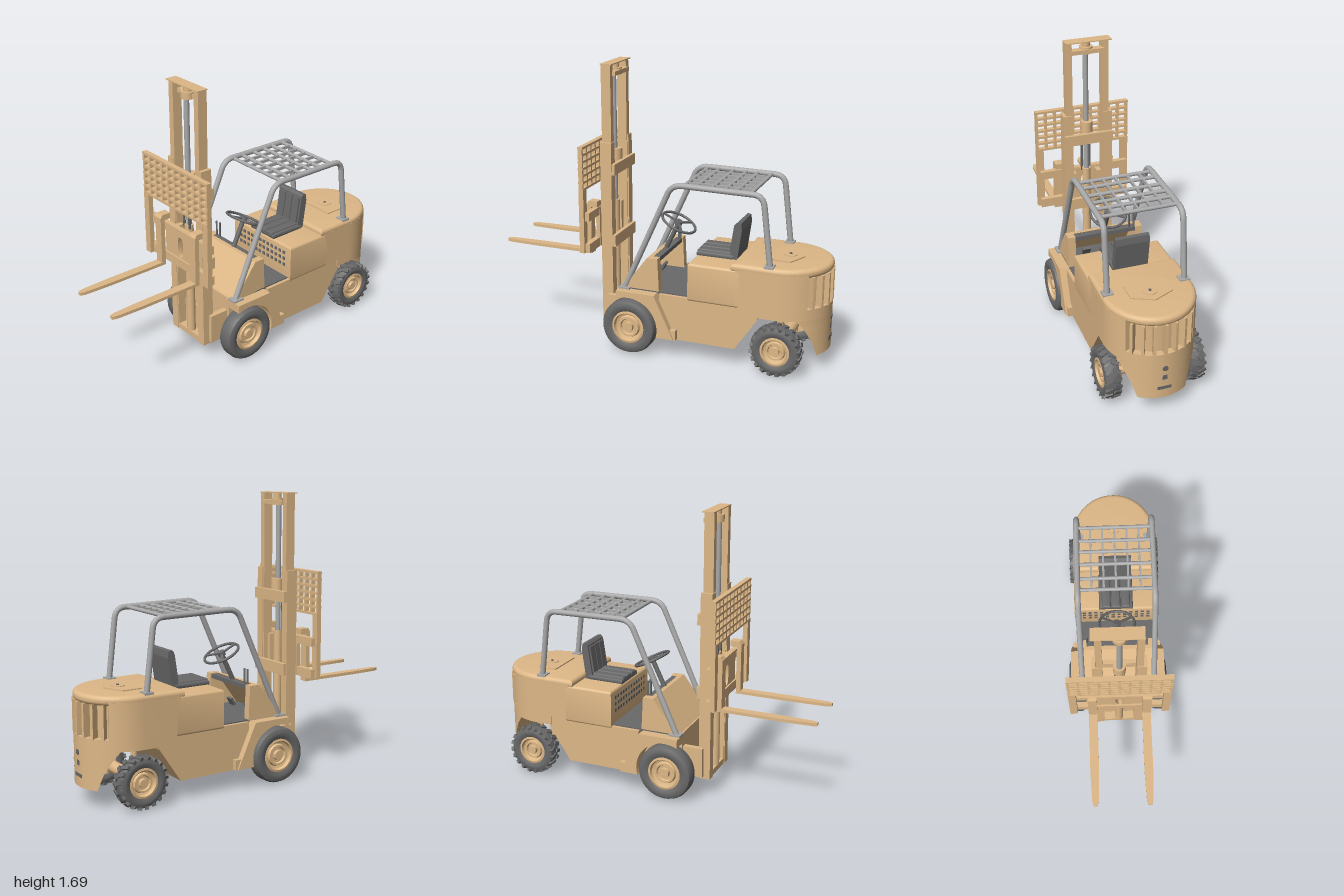
import * as THREE from 'three';
import { toCreasedNormals } from 'three/addons/utils/BufferGeometryUtils.js';

const TAN = new THREE.MeshStandardMaterial({ color: 0xdeb887, side: THREE.DoubleSide });
const GREY = new THREE.MeshStandardMaterial({ color: 0xa9a9a9 });
const DARK = new THREE.MeshStandardMaterial({ color: 0x696969, side: THREE.DoubleSide });

function add(parent, name, geo, mat = TAN, x = 0, y = 0, z = 0) {
  const m = new THREE.Mesh(geo, mat);
  m.name = name;
  m.position.set(x, y, z);
  parent.add(m);
  return m;
}
// box given by its extents
function box(p, name, x0, x1, y0, y1, z0, z1, mat) {
  return add(p, name, new THREE.BoxGeometry(x1 - x0, y1 - y0, z1 - z0), mat, (x0 + x1) / 2, (y0 + y1) / 2, (z0 + z1) / 2);
}
function cyl(p, name, r, y0, y1, x, z, mat) {
  return add(p, name, new THREE.CylinderGeometry(r, r, y1 - y0, 24), mat, x, (y0 + y1) / 2, z);
}
// [z, y] profile extruded across x
function side(p, name, pts, x0, x1, mat) {
  const s = new THREE.Shape(pts.map(([z, y]) => new THREE.Vector2(-z, y)));
  const g = new THREE.ExtrudeGeometry(s, { depth: x1 - x0, bevelEnabled: false });
  return add(p, name, g.rotateY(Math.PI / 2).translate(x0, 0, 0), mat);
}
// [x, z] outline extruded upward, optionally with rounded edges
function plan(p, name, pts, y0, y1, round = 0, mat = TAN) {
  const s = new THREE.Shape(pts.map(([x, z]) => new THREE.Vector2(x, -z)));
  const g = new THREE.ExtrudeGeometry(s, {
    depth: y1 - y0 - 2 * round, bevelEnabled: round > 0, bevelSize: round,
    bevelThickness: round, bevelOffset: -round, bevelSegments: 4,
  });
  return add(p, name, toCreasedNormals(g.rotateX(-Math.PI / 2).translate(0, y0 + round, 0), 0.6), mat);
}
// points of the round tail, angle measured from straight back
const tail = (a, k = 1) => [0.26 * k * Math.sin(a), -0.72 - 0.28 * k * Math.cos(a)];
function tailOutline(zFront, notch) {
  const pts = [[-0.26, zFront]];
  for (let i = 0; i <= 48; i++) {
    const a = (i / 48 - 0.5) * Math.PI;
    pts.push(tail(a, notch && Math.abs(a) < 0.84 ? 0.86 : 1));
  }
  pts.push([0.26, zFront]);
  return pts;
}

function counterweightSkirt() {
  const levels = [[0.105, -0.955], [0.2, -0.93], [0.28, -0.89], [0.36, -0.83]], n = 24, pos = [];
  const rings = levels.map(([y, zc]) => {
    const A = Math.acos((-zc - 0.72) / 0.28);
    return Array.from({ length: n }, (_, i) => {
      const [x, z] = tail((i / (n - 1) * 2 - 1) * A);
      return [x, y, z];
    });
  });
  for (let j = 0; j < rings.length - 1; j++) for (let i = 0; i < n; i++) {
    const k = (i + 1) % n, a = rings[j][i], b = rings[j][k], c = rings[j + 1][k], d = rings[j + 1][i];
    pos.push(...a, ...d, ...c, ...a, ...c, ...b);
  }
  for (let i = 1; i < n - 1; i++) pos.push(...rings[0][0], ...rings[0][i], ...rings[0][i + 1]);
  const g = new THREE.BufferGeometry();
  g.setAttribute('position', new THREE.Float32BufferAttribute(pos, 3));
  return toCreasedNormals(g, 0.6);
}

function wheel(name, R, w, rim, lugs) {
  const g = new THREE.Group(), h = w / 2, v = (r, y) => new THREE.Vector2(r, y);
  g.name = name;
  const lathe = (part, pts, mat) => add(g, part, toCreasedNormals(new THREE.LatheGeometry(pts, 40).rotateZ(-Math.PI / 2), 0.6), mat);
  const t = lugs ? R - 0.008 : R;
  lathe('tyre', [v(rim, -h * 0.8), v(rim + 0.02, -h), v(t - 0.025, -h), v(t - 0.008, -h * 0.85), v(t, -h * 0.5), v(t, h * 0.5),
    v(t - 0.008, h * 0.85), v(t - 0.025, h), v(rim + 0.02, h), v(rim, h * 0.8)], DARK);
  lathe('rim', [v(0, -h * 0.7), v(rim, -h * 0.8), v(rim, h * 0.85), v(rim - 0.012, h * 0.9), v(rim - 0.018, h * 0.5), v(rim * 0.68, h * 0.4),
    v(rim * 0.62, h * 0.7), v(rim * 0.5, h * 0.7), v(rim * 0.45, h * 0.45), v(rim * 0.3, h * 0.45), v(rim * 0.28, h * 0.85), v(0, h * 0.85)]);
  for (let i = 0; i < lugs; i++) for (const s of [-1, 1]) {
    const holder = new THREE.Group();
    holder.rotation.x = (i + (s > 0 ? 0.5 : 0)) / lugs * Math.PI * 2;
    const lug = box(holder, 'treadLug', -h * 0.5, h * 0.5, -0.009, 0.009, -0.011, 0.011, DARK);
    lug.position.set(s * h * 0.5, R - 0.011, 0);
    lug.rotation.set(0, s * 0.45, -s * 0.12);
    g.add(holder);
  }
  return g;
}

export function createModel() {
  const root = new THREE.Group();
  root.name = 'forklift';
  const group = (name) => { const g = new THREE.Group(); g.name = name; root.add(g); return g; };

  // chassis and rounded tail
  const body = group('body');
  side(body, 'chassis', [[-0.04, 0.385], [-0.04, 0.115], [-0.5, 0.115], [-0.63, 0.31], [-0.66, 0.385]], -0.255, 0.255);
  box(body, 'frontFrame', -0.19, 0.19, 0.12, 0.385, -0.04, 0.21);
  plan(body, 'seatDeck', [[-0.26, -0.215], [-0.26, -0.52], [0.26, -0.52], [0.26, -0.215]], 0.37, 0.6, 0.015);
  plan(body, 'tailBase', tailOutline(-0.62), 0.33, 0.395);
  plan(body, 'tailMiddle', tailOutline(-0.5, true), 0.385, 0.6);
  plan(body, 'hoodTop', tailOutline(-0.47), 0.58, 0.633, 0.024);
  add(body, 'counterweightSkirt', counterweightSkirt());
  for (let i = -3; i <= 3; i++) {
    const a = i * 0.24, [x, z] = tail(a, 0.93);
    box(body, 'grilleFin', -0.008, 0.008, 0.39, 0.585, -0.024, 0.024).position.set(x, 0.487, z);
    body.children.at(-1).rotation.y = -a;
  }
  plan(body, 'hoodPlate', [[-0.122, -0.66], [-0.122, -0.78], [0, -0.835], [0.122, -0.78], [0.122, -0.66]], 0.62, 0.64);
  cyl(body, 'fillerCap', 0.04, 0.635, 0.644, 0, -0.75);
  cyl(body, 'capKnob', 0.008, 0.64, 0.65, 0, -0.75, DARK);
  const pin = cyl(body, 'towPin', 0.016, -0.006, 0.006, 0, 0, DARK);
  pin.position.set(0, 0.3, -0.998);
  pin.rotation.x = Math.PI / 2;
  box(body, 'towSlot', -0.014, 0.014, 0.225, 0.255, -1, -0.98, DARK);
  box(body, 'towRecess', -0.04, 0.04, 0.16, 0.18, -1, -0.98, DARK);
  for (let i = 0; i < 12; i++) for (let j = 0; j < 3; j++) {
    const x = -0.2 + i * 0.0364, y = 0.46 + j * 0.04;
    box(body, 'ventHole', x - 0.01, x + 0.01, y, y + 0.02, -0.22, -0.212, DARK);
  }

  // cowl, fenders and footwell
  box(body, 'floor', -0.235, 0.235, 0.38, 0.392, -0.215, 0.17, DARK);
  side(body, 'cowlFront', [[0.2, 0.385], [0.045, 0.59], [0.02, 0.59], [0.17, 0.385]], -0.2, 0.2);
  box(body, 'dashboard', -0.2, 0.2, 0.56, 0.585, -0.015, 0.04, DARK);
  const fender = [[0.22, 0.385], [-0.02, 0.385], [-0.14, 0.125], [-0.07, 0.125]];
  for (let d = 195; d >= 65; d -= 10) {
    const t = d * Math.PI / 180;
    fender.push([0.142 + 0.18 * Math.cos(t), 0.17 + 0.18 * Math.sin(t)]);
  }
  for (const s of [-1, 1]) {
    const span = (a, b) => (s > 0 ? [a, b] : [-b, -a]);
    side(body, 'fender', fender, ...span(0.18, 0.295));
    side(body, 'cowlSide', [[0.2, 0.385], [0.045, 0.59], [-0.02, 0.59], [-0.03, 0.385]], ...span(0.19, 0.235));
    box(body, 'step', ...span(0.25, 0.285), 0.12, 0.18, -0.15, -0.08);
    box(body, 'mastBracket', ...span(0.14, 0.175), 0.12, 0.3, 0.18, 0.33);
    box(body, 'pedal', ...span(0.07, 0.12), 0.4, 0.45, 0.06, 0.075, DARK).rotation.x = -0.5;
    cyl(body, 'lever', 0.006, 0.58, 0.68, -0.17 + s * 0.015, -0.005, DARK);
  }

  // wheels and axles
  const wheels = group('wheels');
  for (const s of [-1, 1]) {
    const f = wheel('frontWheel', 0.166, 0.1, 0.1, 0), r = wheel('rearWheel', 0.152, 0.09, 0.086, 20);
    f.position.set(s * 0.26, 0.166, 0.142);
    r.position.set(s * 0.25, 0.152, -0.747);
    for (const w of [f, r]) { if (s < 0) w.rotation.y = Math.PI; wheels.add(w); }
    cyl(wheels, 'kingpin', 0.02, 0.09, 0.34, s * 0.175, -0.747);
  }
  for (const [z, y, r] of [[0.142, 0.166, 0.06], [-0.747, 0.152, 0.035]]) {
    const a = cyl(wheels, 'axle', r, -0.21, 0.21, 0, z);
    a.position.y = y;
    a.rotation.z = Math.PI / 2;
  }

  // overhead guard
  const guard = group('overheadGuard');
  for (const s of [-1, 1]) {
    const path = new THREE.CurvePath(), V = (z, y) => new THREE.Vector3(s * 0.225, y, z);
    path.add(new THREE.LineCurve3(V(0.19, 0.385), V(-0.085, 1.0)));
    path.add(new THREE.QuadraticBezierCurve3(V(-0.085, 1.0), V(-0.11, 1.045), V(-0.17, 1.045)));
    path.add(new THREE.LineCurve3(V(-0.17, 1.045), V(-0.58, 1.04)));
    path.add(new THREE.QuadraticBezierCurve3(V(-0.58, 1.04), V(-0.64, 1.04), V(-0.648, 0.98)));
    path.add(new THREE.LineCurve3(V(-0.648, 0.98), V(-0.69, 0.63)));
    add(guard, 'guardTube', new THREE.TubeGeometry(path, 80, 0.017, 14), GREY);
    box(guard, 'rearFoot', s * 0.222 - 0.03, s * 0.222 + 0.03, 0.625, 0.64, -0.715, -0.66, GREY);
    box(guard, 'frontFoot', s * 0.225 - 0.03, s * 0.225 + 0.03, 0.383, 0.395, 0.15, 0.22, GREY);
  }
  for (const z of [-0.565, -0.48, -0.41, -0.33, -0.24, -0.17])
    cyl(guard, 'roofCrossbar', 0.011, -0.225, 0.225, 0, z, GREY).rotation.z = Math.PI / 2;
  for (const c of guard.children) if (c.name === 'roofCrossbar') c.position.y = 1.04;
  for (let i = -2; i <= 2; i++) box(guard, 'roofBar', i * 0.072 - 0.006, i * 0.072 + 0.006, 1.03, 1.048, -0.565, -0.17, GREY);

  // seat and steering
  const seat = group('seat');
  const pad = (x0, x1) => [[x0, -0.215], [x0, -0.44], [x1, -0.44], [x1, -0.215]];
  plan(seat, 'cushion', pad(-0.105, 0.105), 0.595, 0.625, 0.01, DARK);
  for (let i = -1; i <= 1; i++) plan(seat, 'cushionPad', pad(i * 0.06 - 0.028, i * 0.06 + 0.028), 0.605, 0.636, 0.012, DARK);
  side(seat, 'backrest', [[-0.415, 0.6], [-0.43, 0.7], [-0.445, 0.81], [-0.46, 0.825], [-0.48, 0.82], [-0.485, 0.78], [-0.46, 0.6]], -0.1, 0.1, DARK);
  for (let i = -1; i <= 1; i++)
    side(seat, 'backrestPad', [[-0.41, 0.64], [-0.434, 0.8], [-0.45, 0.8], [-0.43, 0.64]], i * 0.06 - 0.027, i * 0.06 + 0.027, DARK);
  const steer = group('steeringWheel');
  steer.position.set(0, 0.75, -0.065);
  steer.rotation.x = -0.45;
  add(steer, 'steeringRim', new THREE.TorusGeometry(0.107, 0.008, 10, 40).rotateX(Math.PI / 2), DARK);
  cyl(steer, 'steeringHub', 0.022, -0.015, 0.012, 0, 0, DARK);
  cyl(steer, 'steeringColumn', 0.014, -0.2, 0, 0, 0, DARK);
  for (let i = 0; i < 3; i++)
    add(steer, 'spoke', new THREE.BoxGeometry(0.016, 0.008, 0.105).translate(0, 0, 0.053), DARK).rotation.y = i * Math.PI * 2 / 3;

  // mast with nested channels and lift cylinder
  const mast = group('mast');
  for (const s of [-1, 1]) {
    const rail = (name, a, b, ...r) => box(mast, name, s > 0 ? a : -b, s > 0 ? b : -a, ...r);
    rail('outerRailWeb', 0.132, 0.152, 0.105, 1.23, 0.30, 0.37);
    rail('outerRailFront', 0.1, 0.152, 0.105, 1.23, 0.357, 0.37);
    rail('outerRailBack', 0.1, 0.152, 0.105, 1.23, 0.30, 0.313);
    rail('innerRail', 0.093, 0.13, 0.12, 1.685, 0.307, 0.366);
  }
  for (const [y0, y1] of [[0.6, 0.67], [1.04, 1.105]]) box(mast, 'rearCrossmember', -0.15, 0.15, y0, y1, 0.28, 0.305);
  box(mast, 'bottomPlate', -0.14, 0.14, 0.105, 0.3, 0.3, 0.315);
  box(mast, 'baseSill', -0.14, 0.14, 0.105, 0.14, 0.3, 0.365);
  box(mast, 'topPlate', -0.15, 0.13, 1.68, 1.686, 0.3, 0.37);
  cyl(mast, 'liftCylinder', 0.026, 0.14, 0.85, 0, 0.345);
  cyl(mast, 'liftRod', 0.016, 0.85, 1.62, 0, 0.345, GREY);
  cyl(mast, 'cylinderCollar', 0.036, 1.07, 1.17, 0, 0.335);
  cyl(mast, 'rodHead', 0.04, 1.61, 1.65, 0, 0.335);
  cyl(mast, 'rodCap', 0.024, 1.65, 1.68, 0, 0.335);
  box(mast, 'headCrossbar', -0.1, 0.1, 1.615, 1.64, 0.29, 0.335);
  for (const s of [-1, 1]) box(mast, 'chain', s * 0.024 - 0.006, s * 0.024 + 0.006, 0.83, 1.07, 0.355, 0.365, DARK);

  // carriage, load backrest and forks
  const carriage = group('carriage');
  const plate = new THREE.Shape([[-0.14, 0.59], [0.14, 0.59], [0.14, 0.83], [-0.14, 0.83]].map((p) => new THREE.Vector2(...p)));
  plate.holes.push(new THREE.Path().absellipse(0, 0.72, 0.025, 0.07, 0, Math.PI * 2, true));
  plate.holes.push(new THREE.Path().absarc(0, 0.805, 0.01, 0, Math.PI * 2, true));
  add(carriage, 'centrePlate', new THREE.ExtrudeGeometry(plate, { depth: 0.025, bevelEnabled: false, curveSegments: 20 }), TAN, 0, 0, 0.385);
  for (const [y0, y1] of [[0.785, 0.835], [0.59, 0.645]]) box(carriage, 'carriageBar', -0.28, 0.28, y0, y1, 0.388, 0.42);
  for (let i = 0; i <= 10; i++) {
    const x = -0.288 + i * 0.0576;
    box(carriage, 'gridUpright', x - 0.007, x + 0.007, 0.97, 1.23, 0.417, 0.443);
  }
  for (let i = 0; i <= 6; i++) box(carriage, 'gridRail', -0.295, 0.295, 0.97 + i * 0.041, 0.984 + i * 0.041, 0.415, 0.445);
  for (const s of [-1, 1]) {
    box(carriage, 'backrestPost', s * 0.273 - 0.022, s * 0.273 + 0.022, 0.59, 0.97, 0.415, 0.445);
    box(carriage, 'rollerBracket', s * 0.08 - 0.015, s * 0.08 + 0.015, 0.63, 0.82, 0.335, 0.39);
    const c = s * 0.16, w = 0.026;
    side(carriage, 'forkShank', [[0.38, 0.88], [0.435, 0.88], [0.448, 0.86], [0.448, 0.555], [0.42, 0.555], [0.42, 0.845], [0.38, 0.845]], c - w, c + w);
    plan(carriage, 'forkBlade', [[c - w, 0.42], [c - w, 0.8], [c - 0.019, 0.975], [c - 0.01, 1], [c + 0.01, 1], [c + 0.019, 0.975], [c + w, 0.8], [c + w, 0.42]], 0.555, 0.573);
  }
  return root;
}
